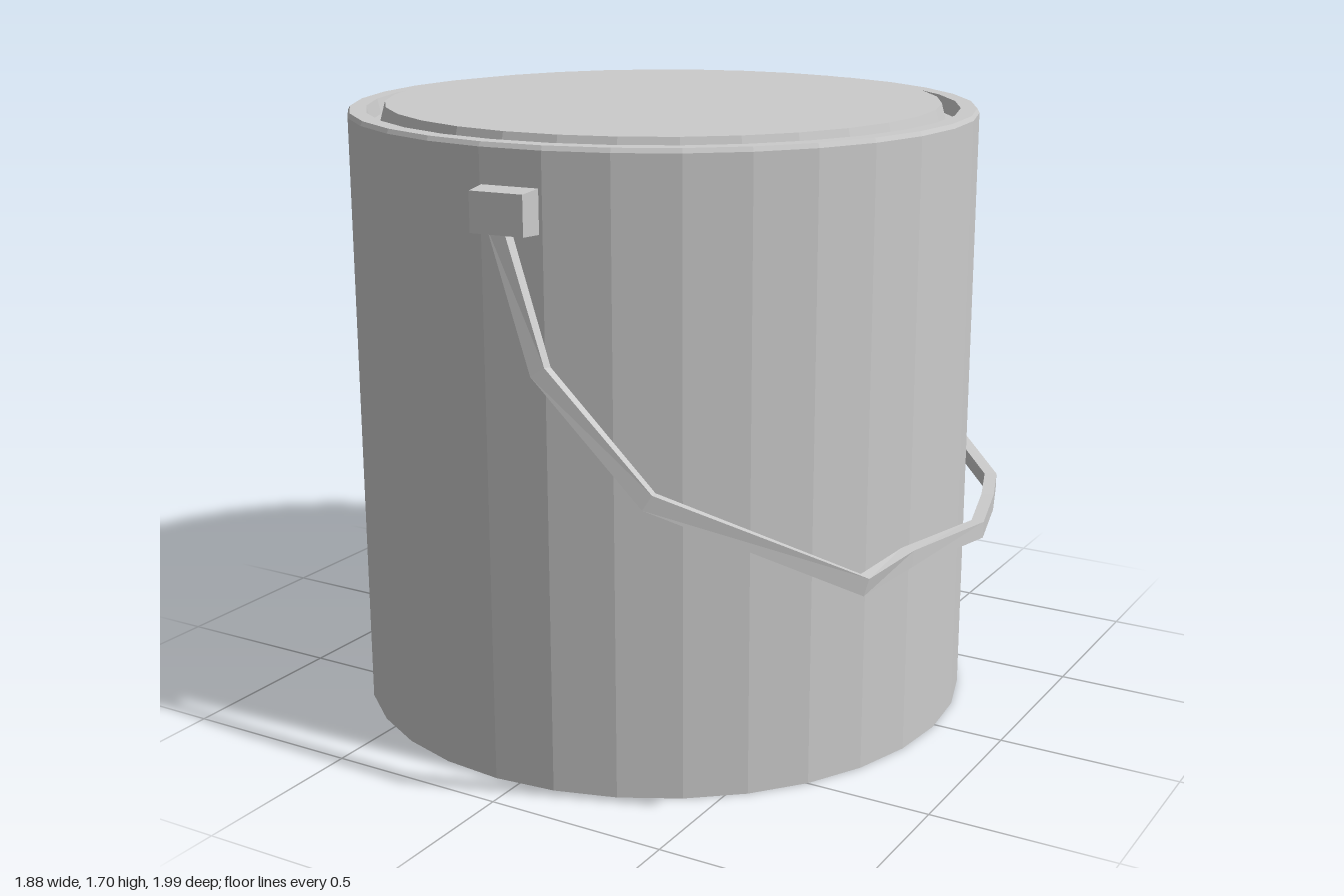
import * as THREE from 'three';

const CX = -0.07, CZ = 0.013, R = 0.873;
const material = new THREE.MeshStandardMaterial({ color: 0xcccccc, flatShading: true });

function part(name, geometry) {
  const mesh = new THREE.Mesh(geometry, material);
  mesh.name = name;
  return mesh;
}

// Sweeps a small rectangle along a bent path, one flat side facing away from the can's axis
function sweepBar(points, depth, width) {
  const pos = [], index = [], n = points.length;
  points.forEach((p, i) => {
    const before = p.clone().sub(points[Math.max(i - 1, 0)]).normalize();
    const after = points[Math.min(i + 1, n - 1)].clone().sub(p).normalize();
    const t = before.add(after).normalize();
    const out = new THREE.Vector3(p.x - CX, 0, p.z - CZ);
    out.addScaledVector(t, -out.dot(t)).normalize();
    const side = new THREE.Vector3().crossVectors(t, out);
    for (const [a, b] of [[1, -1], [1, 1], [-1, 1], [-1, -1]]) {
      const v = p.clone().addScaledVector(out, a * depth / 2).addScaledVector(side, b * width / 2);
      pos.push(v.x, v.y, v.z);
    }
    if (i === n - 1) return;
    for (let k = 0; k < 4; k++) {
      const a = i * 4 + k, b = i * 4 + (k + 1) % 4;
      index.push(a, b, a + 4, b, b + 4, a + 4);
    }
  });
  const e = (n - 1) * 4;
  index.push(0, 2, 1, 0, 3, 2, e, e + 1, e + 2, e, e + 2, e + 3);
  const g = new THREE.BufferGeometry();
  g.setAttribute('position', new THREE.Float32BufferAttribute(pos, 3));
  g.setIndex(index);
  g.computeVertexNormals();
  return g;
}

// Handle mount: a block that narrows slightly towards its outer face
function mountGeometry() {
  const g = new THREE.BoxGeometry(0.16, 0.115, 0.085);
  const p = g.attributes.position;
  for (let i = 0; i < p.count; i++) {
    if (p.getZ(i) > 0) p.setXY(i, p.getX(i) * 0.92, p.getY(i) * 0.9);
  }
  return g.translate(0, 1.527, 0.895);
}

export function createModel() {
  const model = new THREE.Group();
  model.name = 'paintCan';

  // Can wall, rim, groove and raised lid in one turned profile
  const profile = [
    [0, 0], [R, 0], [R, 1.675], [R - 0.006, 1.687], [0.822, 1.687], [0.812, 1.645],
    [0.785, 1.645], [0.77, 1.7], [0, 1.7],
  ].map(([x, y]) => new THREE.Vector2(x, y));
  const can = part('can', new THREE.LatheGeometry(profile, 32));
  can.position.set(CX, 0, CZ);
  model.add(can);

  // Two opposite mounts
  [['frontMount', 0.095], ['backMount', Math.PI + 0.1]].forEach(([name, angle]) => {
    const mount = part(name, mountGeometry());
    mount.position.set(CX, 0, CZ);
    mount.rotation.y = angle;
    model.add(mount);
  });

  // Bent wire handle hanging to one side
  const path = [
    [0.0, 1.5, 0.915], [0.145, 1.155, 0.955], [0.46, 0.885, 0.975], [0.92, 0.695, 0.765],
    [0.875, 0.64, 0.4], [0.92, 0.615, 0.04], [0.85, 0.607, -0.21], [0.795, 0.615, -0.37],
    [0.57, 0.655, -0.635], [0.15, 1.02, -0.975], [-0.145, 1.295, -0.89], [-0.15, 1.5, -0.885],
  ].map((p) => new THREE.Vector3(...p));
  model.add(part('handle', sweepBar(path, 0.034, 0.044)));

  return model;
}
